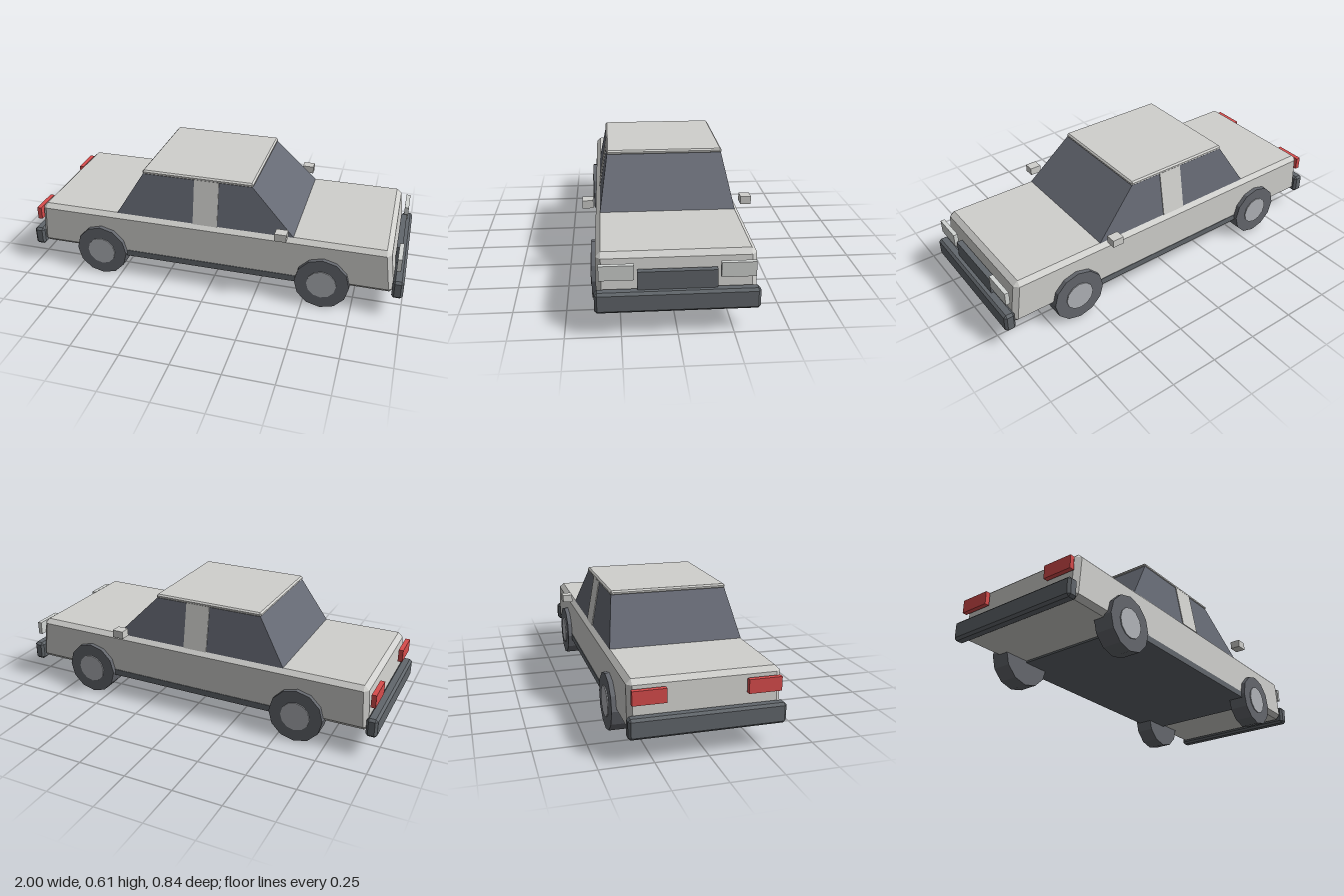
import * as THREE from 'three';
import { ConvexGeometry } from 'three/addons/geometries/ConvexGeometry.js';

const mat = (name, color) => {
  const m = new THREE.MeshStandardMaterial({ color });
  m.name = name;
  return m;
};

// Box with every edge cut by b; shape(p) may move the points afterwards
function chamferBox(x0, x1, y0, y1, z, b, shape = () => {}) {
  const pts = [];
  for (const sx of [0, 1]) for (const sy of [0, 1]) for (const sz of [-1, 1]) {
    const x = sx ? x1 : x0, y = sy ? y1 : y0;
    const ix = x + (sx ? -b : b), iy = y + (sy ? -b : b), iz = sz * (z - b);
    pts.push(new THREE.Vector3(x, iy, iz), new THREE.Vector3(ix, y, iz), new THREE.Vector3(ix, iy, sz * z));
  }
  pts.forEach(shape);
  return new ConvexGeometry(pts);
}

// Solid between a bottom and a top rectangle: [x0, x1, y, z0, z1]
function taper(bottom, top) {
  const pts = [];
  for (const [x0, x1, y, z0, z1] of [bottom, top])
    for (const x of [x0, x1]) for (const z of [z0, z1]) pts.push(new THREE.Vector3(x, y, z));
  return new ConvexGeometry(pts);
}

export function createModel() {
  const paint = mat('body paint', 0xd0d0cd);
  const glass = mat('window glass', 0x666a74);
  const trim = mat('dark trim', 0x62676c);
  const rubber = mat('tyre rubber', 0x64676d);
  const metal = mat('hub metal', 0xb0b3b8);
  const lamp = mat('headlight', 0xd2d5d3);
  const red = mat('tail light', 0xd84c4c);

  const car = new THREE.Group();
  car.name = 'car';
  const add = (name, geometry, material) => {
    const mesh = new THREE.Mesh(geometry, material);
    mesh.name = name;
    car.add(mesh);
    return mesh;
  };
  const box = (name, material, x0, x1, y0, y1, z0, z1) =>
    add(name, new THREE.BoxGeometry(x1 - x0, y1 - y0, z1 - z0), material)
      .position.set((x0 + x1) / 2, (y0 + y1) / 2, (z0 + z1) / 2);

  // Lower body, its nose and tail leaning inwards towards the top
  add('body', chamferBox(-0.955, 0.955, 0.13, 0.365, 0.357, 0.023, p => {
    const t = (p.y - 0.13) / 0.235;
    p.x -= t * (p.x > 0 ? 0.033 : -0.017);
  }), paint);
  box('underside', trim, -0.6, 0.6, 0.12, 0.153, -0.36, 0.36);

  // Cabin
  add('windows', taper([-0.51, 0.44, 0.362, -0.336, 0.336], [-0.365, 0.21, 0.597, -0.294, 0.294]), glass);
  add('roof', chamferBox(-0.37, 0.217, 0.59, 0.614, 0.298, 0.008), paint);

  // Bumpers and grille
  add('frontBumper', chamferBox(0.944, 1, 0.112, 0.21, 0.366, 0.012), trim);
  add('rearBumper', chamferBox(-1, -0.944, 0.112, 0.21, 0.366, 0.012), trim);
  box('grille', trim, 0.94, 0.97, 0.2, 0.295, -0.177, 0.177);

  // Parts on both sides
  for (const s of [-1, 1]) {
    const side = s > 0 ? 'left' : 'right';
    const pair = (name, material, x0, x1, y0, y1, a, b) =>
      box(side + name, material, x0, x1, y0, y1, Math.min(s * a, s * b), Math.max(s * a, s * b));
    pair('Headlight', lamp, 0.954, 0.976, 0.261, 0.33, 0.19, 0.345);
    pair('TailLight', red, -0.978, -0.954, 0.263, 0.33, 0.188, 0.345);
    pair('Mirror', paint, 0.356, 0.416, 0.381, 0.421, 0.367, 0.42);

    add(side + 'Pillar', taper([-0.09, 0.04, 0.362, s * 0.32, s * 0.34], [-0.09, 0.04, 0.597, s * 0.28, s * 0.298]), paint);

    for (const x of [-0.597, 0.597]) {
      const wheel = new THREE.Group();
      wheel.name = side + (x > 0 ? 'FrontWheel' : 'RearWheel');
      wheel.position.set(x, 0.14, s * 0.33);
      for (const [name, r, depth, z, m] of [['tyre', 0.14, 0.1, 0, rubber], ['hub', 0.076, 0.02, 0.045, metal]]) {
        const g = new THREE.CylinderGeometry(r, r, depth, 12).toNonIndexed();
        g.rotateX(Math.PI / 2);
        g.computeVertexNormals();
        const mesh = new THREE.Mesh(g, m);
        mesh.name = name;
        mesh.position.z = s * z;
        wheel.add(mesh);
      }
      car.add(wheel);
    }
  }
  return car;
}
